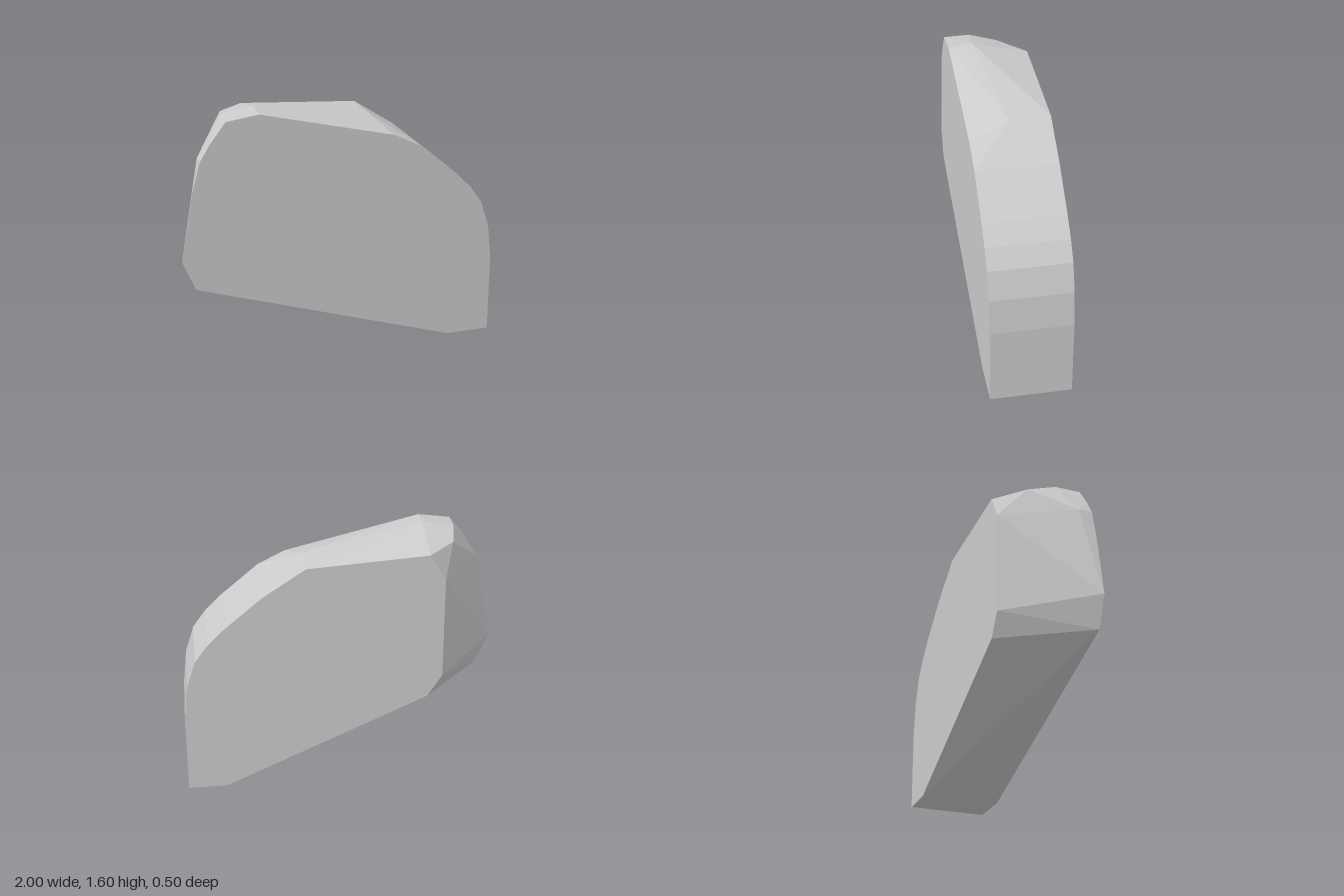
import * as THREE from 'three';
import { ConvexGeometry } from 'three/addons/geometries/ConvexGeometry.js';

export function createModel() {
  const group = new THREE.Group();
  group.name = 'facetedSlab';
  const half = 0.25;

  // Rounded right-hand edge, shared by the front and back faces
  const sharedEdge = [[1, 0], [1, 0.5], [0.975, 0.72], [0.92, 0.89], [0.84, 1.0], [0.74, 1.1], [0.5, 1.3]];

  // Remaining outline of each face, running over the top and down the left
  const frontOutline = [
    ...sharedEdge, [0.33, 1.385], [-0.51, 1.587], [-0.71, 1.56], [-0.81, 1.43],
    [-0.87, 1.33], [-0.92, 1.15], [-1, 0.72], [-0.92, 0.53], [0.72, 0],
  ];
  const backOutline = [
    ...sharedEdge, [0.24, 1.47], [-0.5, 1.52], [-0.6, 1.355], [-0.6, 0.71], [-0.51, 0.57], [0.76, 0],
  ];

  // Corners of the chipped facets between the two faces
  const facetCorners = [
    [0.24, 1.47, 0], [-0.51, 1.6, 0.1], [-0.705, 1.565, 0.09],
    [-0.67, 1.53, -0.08], [-0.87, 1.33, 0.165], [-0.87, 1.15, 0.165],
  ];

  const points = [
    ...frontOutline.map(([x, y]) => new THREE.Vector3(x, y, half)),
    ...backOutline.map(([x, y]) => new THREE.Vector3(x, y, -half)),
    ...facetCorners.map((p) => new THREE.Vector3(...p)),
  ];

  const slab = new THREE.Mesh(
    new ConvexGeometry(points),
    new THREE.MeshStandardMaterial({ color: 0xcccccc, flatShading: true }),
  );
  slab.name = 'slab';
  group.add(slab);
  return group;
}
